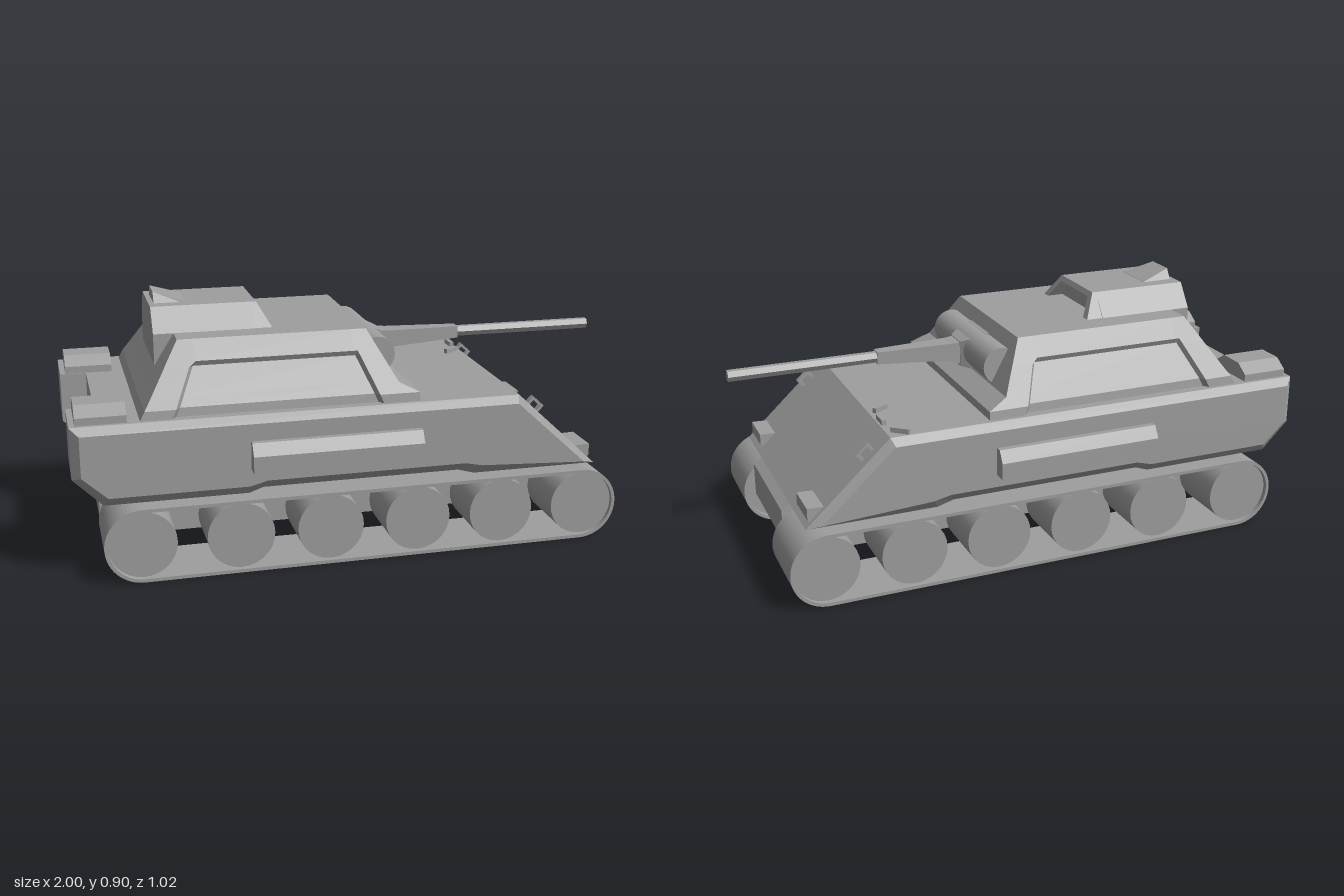
import * as THREE from 'three';

const mat = new THREE.MeshStandardMaterial({ color: 0x9e9e9e });

function add(parent, name, geo, x = 0, y = 0, z = 0) {
  const m = new THREE.Mesh(geo, mat);
  m.name = name;
  m.position.set(x, y, z);
  parent.add(m);
  return m;
}

// Joins counter-clockwise [x, y] outlines placed at rising z, with flat end caps
function loft(sections) {
  const pos = [];
  const push = (...vs) => vs.forEach(v => pos.push(...v));
  const at = (s, i) => [...s.pts[i % s.pts.length], s.z];
  for (let k = 0; k + 1 < sections.length; k++) {
    const s = sections[k], t = sections[k + 1];
    for (let i = 0; i < s.pts.length; i++) {
      push(at(s, i), at(s, i + 1), at(t, i + 1));
      push(at(s, i), at(t, i + 1), at(t, i));
    }
  }
  const cap = (s, flip) => {
    const tris = THREE.ShapeUtils.triangulateShape(s.pts.map(p => new THREE.Vector2(...p)), []);
    for (const [a, b, c] of tris) flip ? push(at(s, a), at(s, c), at(s, b)) : push(at(s, a), at(s, b), at(s, c));
  };
  cap(sections[0], true);
  cap(sections[sections.length - 1], false);
  const g = new THREE.BufferGeometry();
  g.setAttribute('position', new THREE.Float32BufferAttribute(pos, 3));
  g.computeVertexNormals();
  return g;
}

const prism = (pts, z0, z1) => loft([{ z: z0, pts }, { z: z1, pts }]);
const alongX = g => g.rotateY(Math.PI / 2);
const alongY = g => g.rotateX(-Math.PI / 2);
const trapezoid = (wBottom, y0, wTop, y1) => [[-wBottom, y0], [wBottom, y0], [wTop, y1], [-wTop, y1]];
const ring = (n, cy, r) => Array.from({ length: n }, (_, i) => {
  const a = i / n * Math.PI * 2;
  return [r * Math.cos(a), cy + r * Math.sin(a)];
});
const vectors = pts => pts.map(p => new THREE.Vector2(...p));

// Rounded loop outline of a track
function stadium(x0, x1, cy, r, Type) {
  const s = new Type();
  s.absarc(x1, cy, r, -Math.PI / 2, Math.PI / 2, false);
  s.absarc(x0, cy, r, Math.PI / 2, Math.PI * 1.5, false);
  s.closePath();
  return s;
}

// Everything that repeats on both sides, built for +z
function buildSide() {
  const side = new THREE.Group();

  // Upper hull side with chamfered outer edges
  const full = [[-1, 0.37], [-0.9, 0.271], [-0.41, 0.271], [-0.36, 0.288], [0.34, 0.288], [0.4, 0.271],
    [0.86, 0.271], [0.56, 0.55], [-1, 0.55]];
  const inset = [[-0.97, 0.382], [-0.885, 0.304], [-0.41, 0.304], [-0.35, 0.32], [0.36, 0.32], [0.42, 0.307],
    [0.81, 0.287], [0.55, 0.525], [-0.97, 0.525]];
  add(side, 'upperHullSide', loft([{ z: 0.217, pts: full }, { z: 0.432, pts: full }, { z: 0.46, pts: inset }]));

  // Track band and road wheels
  const band = stadium(-0.779, 0.8, 0.131, 0.131, THREE.Shape);
  band.holes.push(stadium(-0.779, 0.8, 0.131, 0.119, THREE.Path));
  add(side, 'track', new THREE.ExtrudeGeometry(band, { depth: 0.253, bevelEnabled: false, curveSegments: 16 }), 0, 0, 0.227);
  for (const x of [-0.78, -0.445, -0.13, 0.185, 0.495, 0.805]) {
    add(side, 'wheel', new THREE.CylinderGeometry(0.117, 0.117, 0.22, 28).rotateX(Math.PI / 2), x, 0.131, 0.355);
  }

  // Stowage box on the flank
  const box = [[-0.45, 0.365], [-0.45, 0.465], [-0.482, 0.465], [-0.508, 0.424], [-0.508, 0.365]];
  add(side, 'sideBox', alongX(prism(box, -0.405, 0.192)));

  // Rear deck box
  const rear = [[-0.098, 0.54], [0.098, 0.54], [0.098, 0.576], [0.048, 0.608], [-0.048, 0.608], [-0.098, 0.576]];
  add(side, 'rearDeckBox', alongX(prism(rear, -0.98, -0.81)), 0, 0, 0.32);

  // Front lamp block and towing loop on the sloped plate
  add(side, 'frontBlock', prism([[0.79, 0.335], [0.84, 0.285], [0.848, 0.295], [0.848, 0.337]], 0.275, 0.415));
  const loop = new THREE.Shape(vectors([[-0.028, -0.01], [-0.018, -0.01], [-0.018, 0.02], [0.018, 0.02],
    [0.018, -0.01], [0.028, -0.01], [0.028, 0.03], [-0.028, 0.03]]));
  add(side, 'towLoop', new THREE.ExtrudeGeometry(loop, { depth: 0.022, bevelEnabled: false }), 0.63, 0.487, 0.375)
    .rotation.z = -0.742;
  return side;
}

// Turret with a sunken, bevelled panel in each side and a low lip around the base
function turretGeometry() {
  // height, rear x, front x, half width, panel depth
  const levels = [
    [0.545, -0.77, 0.2, 0.418, 0.02],
    [0.58, -0.751, 0.2, 0.413, 0.02],
    [0.615, -0.728, 0.13, 0.39, 0.02],
    [0.7, -0.674, 0.085, 0.335, 0.02],
    [0.718, -0.663, 0.075, 0.323, 0],
    [0.785, -0.62, 0.04, 0.28, 0],
  ];
  return alongY(loft(levels.map(([y, x0, x1, w, d]) => {
    const t = Math.min(1, (y - 0.55) / 0.168);
    const a = -0.66 + 0.08 * t, b = 0.07 - 0.07 * t;
    const edge = [[x0, -w], [a, -w], [a + 0.015, d - w], [b - 0.015, d - w], [b, -w], [x1, -w]];
    return { z: y, pts: [...edge, ...edge.map(([x, v]) => [x, -v]).reverse()] };
  })));
}

export function createModel() {
  const model = new THREE.Group();
  model.name = 'tank';

  // Central hull
  add(model, 'centralHull', prism([[-0.905, 0.13], [-0.82, 0.07], [0.8, 0.07], [0.89, 0.13], [0.89, 0.25],
    [0.86, 0.271], [0.56, 0.55], [-0.905, 0.55]], -0.217, 0.217));

  // Mirrored sides
  for (const s of [1, -1]) {
    const side = buildSide();
    side.name = s > 0 ? 'leftFlank' : 'rightFlank';
    side.scale.z = s;
    model.add(side);
  }

  add(model, 'turret', turretGeometry());

  // Cupola with a recessed, sloping front
  add(model, 'cupola', alongX(prism(trapezoid(0.19, 0.785, 0.13, 0.868), -0.69, -0.335)));
  add(model, 'cupolaBase', new THREE.BoxGeometry(0.2, 0.13, 0.38), -0.59, 0.72, 0);
  const rim = new THREE.Shape(vectors(trapezoid(0.19, 0.78, 0.13, 0.868)));
  rim.holes.push(new THREE.Path(vectors(trapezoid(0.155, 0.782, 0.112, 0.85))));
  const rimGeo = new THREE.ExtrudeGeometry(rim, { depth: 0.02, bevelEnabled: false });
  const p = rimGeo.attributes.position;
  for (let i = 0; i < p.count; i++) if (p.getZ(i) > 0.01) p.setZ(i, 0.02 + (0.868 - p.getY(i)) * 0.56);
  rimGeo.computeVertexNormals();
  add(model, 'cupolaFrontRim', alongX(rimGeo), -0.34, 0, 0);
  add(model, 'cupolaWedge', alongX(loft([
    { z: -0.672, pts: trapezoid(0.083, 0.86, 0.055, 0.905) },
    { z: -0.56, pts: trapezoid(0.083, 0.86, 0.08, 0.869) },
  ])));

  // Mantlet, gun mount and barrel
  add(model, 'mantlet', new THREE.CylinderGeometry(0.066, 0.066, 0.5, 24).rotateX(Math.PI / 2), 0.09, 0.678, 0);
  add(model, 'gunMount', alongX(loft([
    { z: 0.07, pts: trapezoid(0.083, 0.612, 0.083, 0.748) },
    { z: 0.115, pts: trapezoid(0.083, 0.612, 0.083, 0.735) },
    { z: 0.165, pts: trapezoid(0.045, 0.622, 0.045, 0.714) },
  ])));
  add(model, 'gunSleeve', alongX(loft([
    { z: 0.15, pts: trapezoid(0.042, 0.622, 0.042, 0.712) },
    { z: 0.2, pts: trapezoid(0.038, 0.645, 0.038, 0.708) },
    { z: 0.47, pts: trapezoid(0.022, 0.661, 0.022, 0.705) },
  ])));
  add(model, 'barrel', alongX(prism(ring(6, 0.683, 0.021), 0.45, 1)));

  // Small deck brackets on the right
  for (const [x, z, turn] of [[0.515, -0.4, -0.7], [0.545, -0.285, Math.PI / 2], [0.515, -0.18, 0.6]]) {
    add(model, 'deckBracket', new THREE.BoxGeometry(0.065, 0.025, 0.016), x, 0.555, z).rotation.y = turn;
  }
  return model;
}
